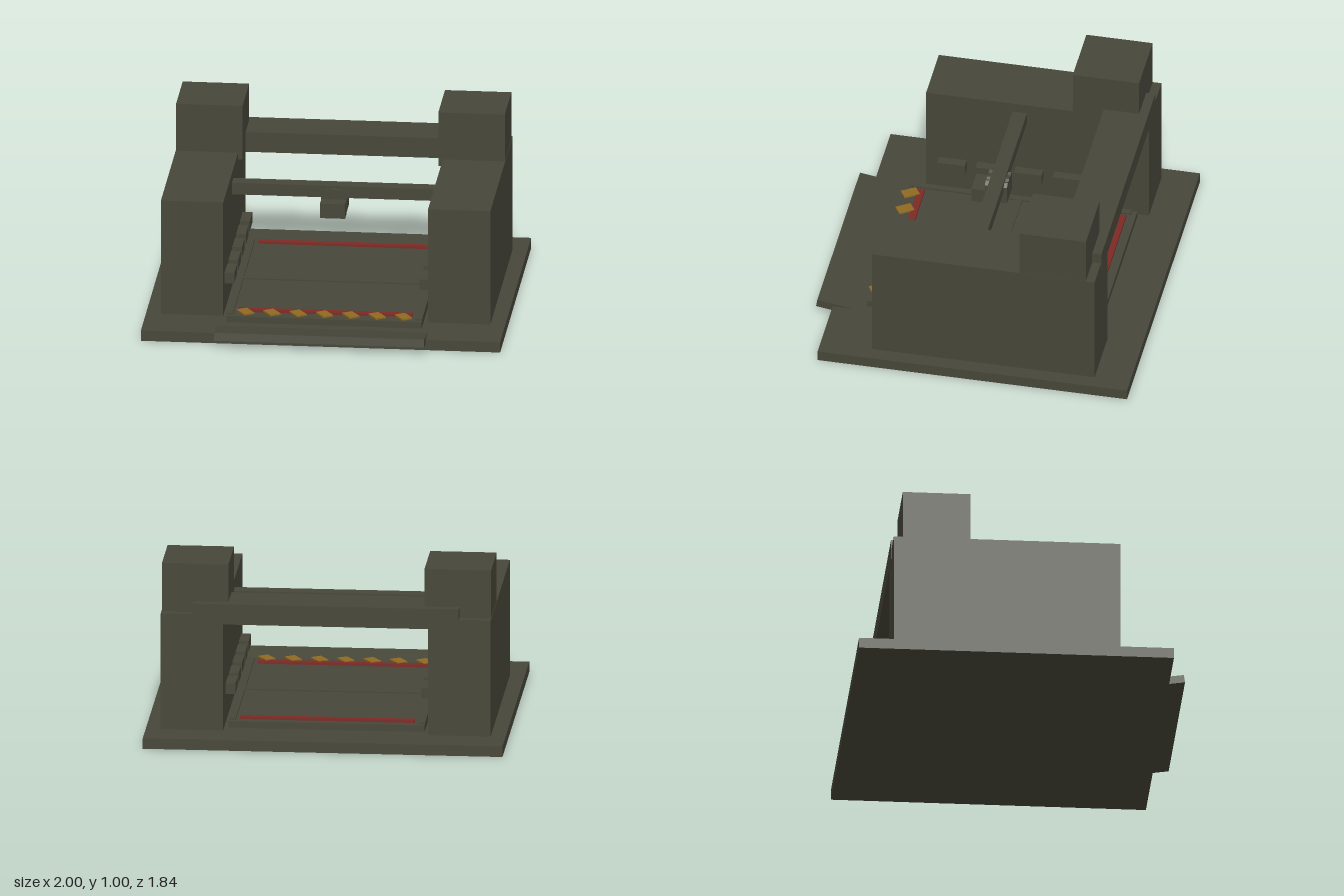
import * as THREE from 'three';

export function createModel() {
  const model = new THREE.Group();
  const mat = (name, color) => {
    const m = new THREE.MeshStandardMaterial({ color });
    m.name = name;
    return m;
  };
  const olive = mat('dark olive', 0x464639);
  const red = mat('dull red', 0x7d2a24);
  const amber = mat('amber', 0x8f6a22);

  const add = (name, geometry, material = olive) => {
    const mesh = new THREE.Mesh(geometry, material);
    mesh.name = name;
    model.add(mesh);
    return mesh;
  };
  // Box given by its limits on each axis
  const box = (name, x0, x1, y0, y1, z0, z1, material) => {
    const mesh = add(name, new THREE.BoxGeometry(x1 - x0, y1 - y0, z1 - z0), material);
    mesh.position.set((x0 + x1) / 2, (y0 + y1) / 2, (z0 + z1) / 2);
    return mesh;
  };
  // The same box on both sides
  const pair = (name, x0, x1, ...rest) => {
    box(name + 'Left', x0, x1, ...rest);
    box(name + 'Right', -x1, -x0, ...rest);
  };

  // Ground slab and the tilted entry ramp
  box('baseSlab', -1, 1, 0, 0.06, -0.92, 0.83);
  const ramp = add('entryRamp', new THREE.BoxGeometry(1.17, 0.045, 0.25));
  ramp.position.set(0, 0.051, 0.797);
  ramp.rotation.x = -0.15;

  // Side walls with raised rear blocks, joined by the back beam
  pair('sideWall', 0.57, 0.917, 0.06, 0.725, -0.72, 0.54);
  pair('towerBlock', 0.545, 0.915, 0.685, 1, -0.67, -0.295);
  box('backBeam', -0.74, 0.74, 0.67, 0.786, -0.722, -0.47);

  // Floor platform with edge rails and a centre strip
  box('platform', -0.545, 0.545, 0.06, 0.097, -0.66, 0.645);
  pair('edgeRail', 0.508, 0.545, 0.06, 0.106, -0.63, 0.62);
  box('centreStrip', -0.508, 0.508, 0.09, 0.104, -0.015, 0.025);

  // Red bars at both ends
  box('frontBar', -0.485, 0.485, 0.097, 0.111, 0.53, 0.568, red);
  box('rearBar', -0.485, 0.485, 0.097, 0.111, -0.61, -0.572, red);

  // Slanted warning markers
  for (let i = -3; i <= 3; i++) {
    const marker = add('warningMarker', new THREE.BoxGeometry(0.09, 0.009, 0.062), amber);
    marker.position.set(i * 0.1465, 0.111, 0.603);
    marker.rotation.y = -1;
  }

  // Small blocks along the inner walls
  for (let i = 0; i < 5; i++) {
    const z = 0.388 - i * 0.217;
    pair('wallBlock', 0.516, 0.575, 0.225, 0.286, z - 0.078, z + 0.078);
  }

  // Overhead rail and its carriage
  box('overheadRail', -0.572, 0.572, 0.602, 0.67, -0.053, 0.028).position.z = 0.01;
  const half = [[0.072, 0.53], [0.072, 0.637], [0.05, 0.656], [0.03, 0.647], [0.014, 0.657]];
  const outline = [...half, ...half.map(([x, y]) => [-x, y]).reverse()];
  const profile = new THREE.Shape(outline.map(([x, y]) => new THREE.Vector2(x, y)));
  const carriage = new THREE.ExtrudeGeometry(profile, { depth: 0.125, bevelEnabled: false });
  add('carriage', carriage).position.z = -0.05;
  box('carriageHead', -0.07, 0.07, 0.515, 0.6, 0.07, 0.152);

  return model;
}
